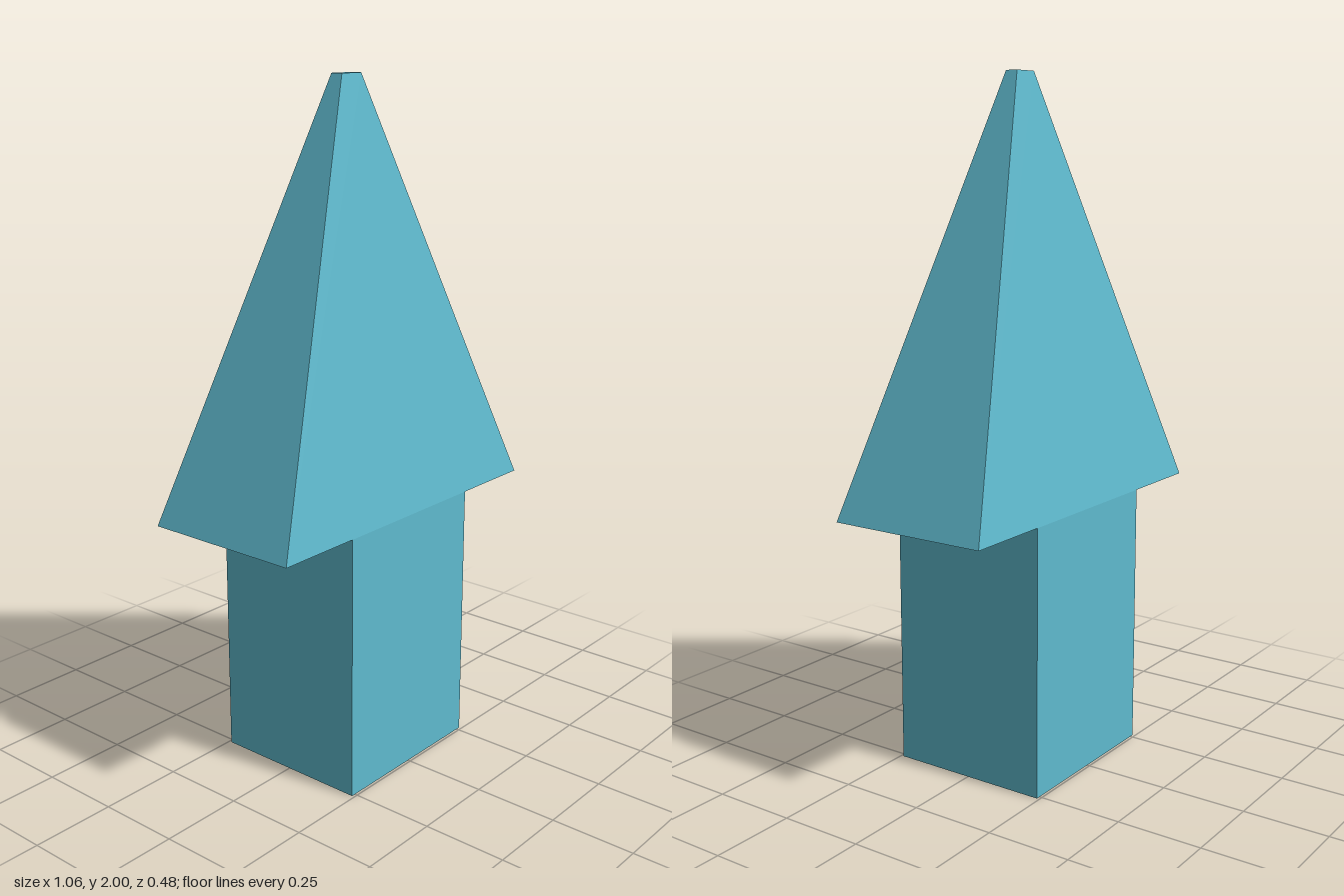
import * as THREE from 'three';

const SHAFT_TOP = 0.784;
const HEIGHT = 2;
const DEPTH = 0.484;

// Box standing on y = base, its top face scaled to form a frustum
function taperedBox(width, depth, base, top, scaleX = 1, scaleZ = 1) {
  const geometry = new THREE.BoxGeometry(width, top - base, depth);
  geometry.translate(0, (base + top) / 2, 0);
  const pos = geometry.attributes.position;
  for (let i = 0; i < pos.count; i++) {
    if (pos.getY(i) > (base + top) / 2) {
      pos.setX(i, pos.getX(i) * scaleX);
      pos.setZ(i, pos.getZ(i) * scaleZ);
    }
  }
  geometry.computeVertexNormals();
  return geometry;
}

export function createModel() {
  const group = new THREE.Group();
  group.name = 'upArrow';
  const material = new THREE.MeshStandardMaterial({ color: 0x5fbace, flatShading: true });

  // Straight rectangular shaft
  const shaft = new THREE.Mesh(taperedBox(0.526, DEPTH, 0, SHAFT_TOP), material);
  shaft.name = 'shaft';

  // Pyramid head with a small flat tip
  const head = new THREE.Mesh(taperedBox(1.058, DEPTH, SHAFT_TOP, HEIGHT, 0.077, 0.077), material);
  head.name = 'head';

  group.add(shaft, head);
  return group;
}
